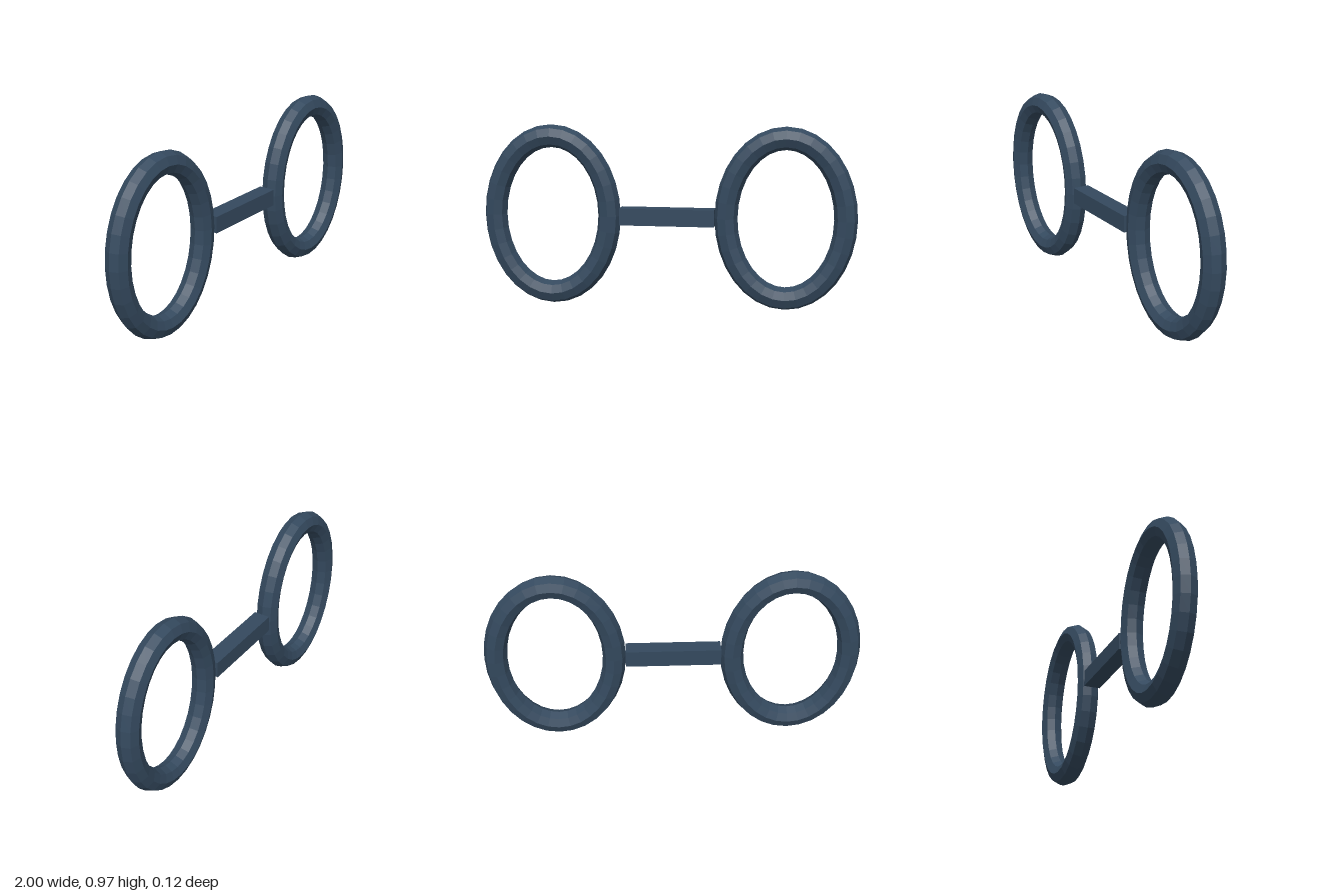
import * as THREE from 'three';

const slate = new THREE.MeshStandardMaterial({ color: 0x34495e, flatShading: true });
slate.name = 'slate blue';

const RX = 0.313, RY = 0.425, TUBE = 0.061; // ellipse radii and rim thickness
const CENTRE_X = 0.626, CENTRE_Y = RY + TUBE;

// Torus bent onto an ellipse, keeping an even octagonal rim
function ellipticalRing() {
  const geometry = new THREE.TorusGeometry(RX, TUBE, 8, 32);
  const { position, uv } = geometry.attributes;
  for (let i = 0; i < position.count; i++) {
    const t = uv.getX(i) * Math.PI * 2, a = uv.getY(i) * Math.PI * 2;
    const normal = new THREE.Vector2(RY * Math.cos(t), RX * Math.sin(t)).normalize();
    const out = TUBE * Math.cos(a);
    position.setXYZ(i,
      RX * Math.cos(t) + normal.x * out,
      RY * Math.sin(t) + normal.y * out,
      TUBE * Math.sin(a));
  }
  geometry.computeVertexNormals();
  return geometry;
}

export function createModel() {
  const model = new THREE.Group();
  model.name = 'spectacles';

  // Two matching rims
  const ring = ellipticalRing();
  for (const [name, side] of [['leftRim', 1], ['rightRim', -1]]) {
    const rim = new THREE.Mesh(ring, slate);
    rim.name = name;
    rim.position.set(side * CENTRE_X, CENTRE_Y, 0);
    model.add(rim);
  }

  // Square bar joining the rims
  const bridge = new THREE.Mesh(new THREE.BoxGeometry(0.506, 0.09, 0.09), slate);
  bridge.name = 'bridge';
  bridge.position.y = CENTRE_Y;
  model.add(bridge);

  return model;
}
